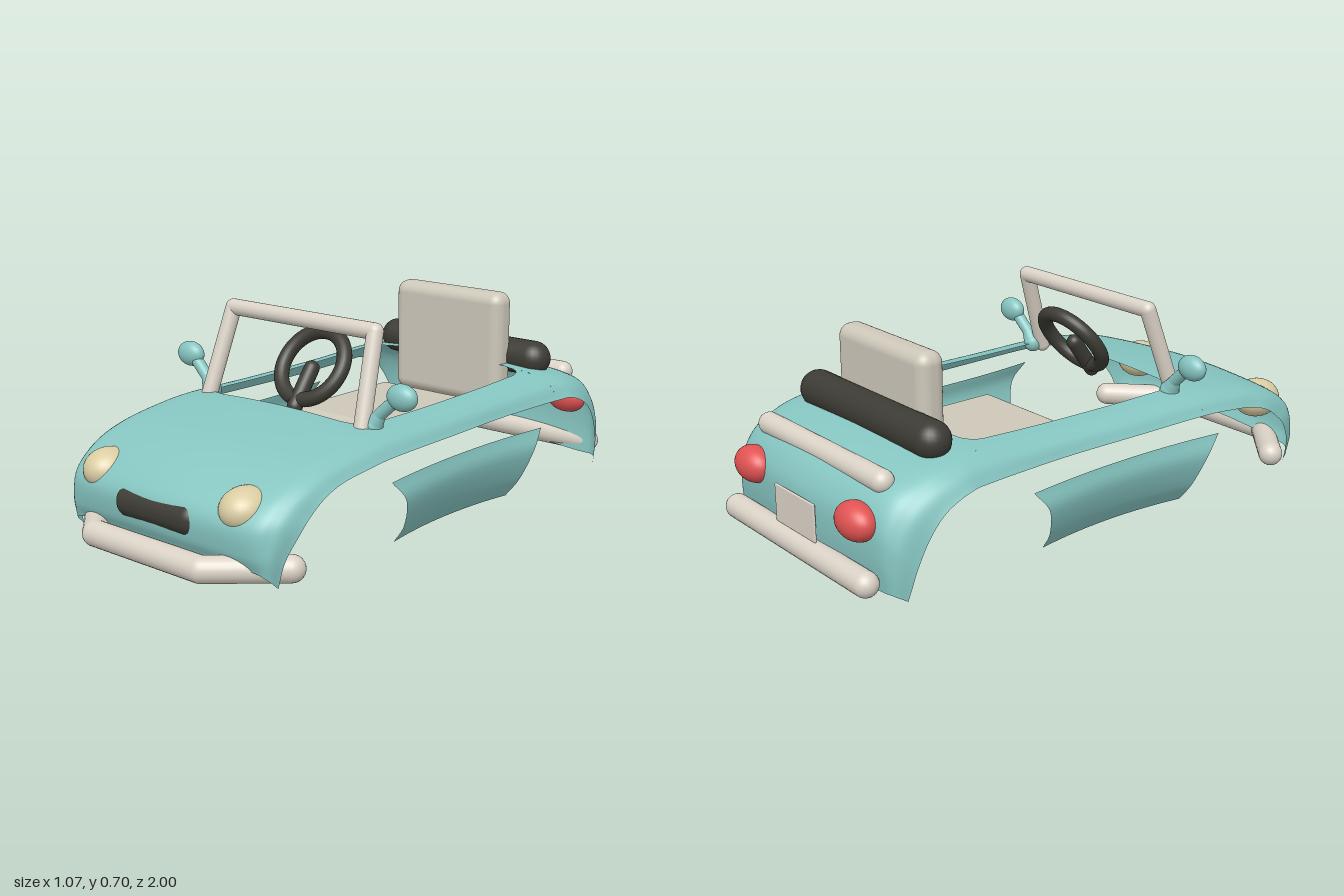
import * as THREE from 'three';
import { RoundedBoxGeometry } from 'three/addons/geometries/RoundedBoxGeometry.js';

const mat = (name, color, side = THREE.FrontSide) =>
  Object.assign(new THREE.MeshStandardMaterial({ color, side }), { name });

// Smooth surface patch from fn(u, v); flip reverses which side faces out
function patch(fn, nu, nv, flip = false) {
  const pos = [], idx = [];
  for (let i = 0; i <= nu; i++)
    for (let j = 0; j <= nv; j++) pos.push(...fn(i / nu, j / nv));
  for (let i = 0; i < nu; i++)
    for (let j = 0; j < nv; j++) {
      const a = i * (nv + 1) + j, b = a + nv + 1;
      if (flip) idx.push(a, b, a + 1, a + 1, b, b + 1);
      else idx.push(a, a + 1, b, a + 1, b + 1, b);
    }
  const g = new THREE.BufferGeometry();
  g.setAttribute('position', new THREE.Float32BufferAttribute(pos, 3));
  g.setIndex(idx);
  g.computeVertexNormals();
  return g;
}

const vec = (x, y, z) => new THREE.Vector3(x, y, z);
const spline = (pts) => new THREE.CatmullRomCurve3(pts, false, 'catmullrom', 0.5);

// Body outline, nose to tail: centre line [y, z]
const centreLine = spline([
  [.10, .91], [.15, .93], [.23, .93], [.29, .88], [.34, .79], [.38, .67], [.405, .52], [.42, .36], [.42, .06],
  [.425, -.26], [.435, -.56], [.425, -.68], [.405, -.78], [.36, -.885], [.28, -.945], [.18, -.955], [.06, -.94],
].map(([y, z]) => vec(0, y, z)));
// Lower edge of the body over the wheel arches, in step with the centre line
const lowerEdge = spline([
  [.445, .035, .84], [.465, .12, .83], [.485, .20, .785], [.488, .245, .74], [.49, .285, .68], [.488, .31, .60],
  [.492, .325, .50], [.49, .335, .36], [.482, .335, .06], [.475, .335, -.26], [.49, .335, -.56], [.5, .33, -.65],
  [.5, .29, -.74], [.495, .22, -.80], [.485, .13, -.84], [.475, .07, -.855], [.465, .025, -.865],
].map((p) => vec(...p)));

// Point on the body at station k (0..16), s across from 0 (right) to 1 (left)
function bodyPoint(k, s) {
  const a = centreLine.getPoint(k / 16), e = lowerEdge.getPoint(k / 16);
  const crown = vec(.35, a.y - .014, a.z - .03 * a.z ** 3);
  const shoulder = crown.clone().lerp(e, .5);
  shoulder.add(vec(.03, .01, .014 * shoulder.z));
  const half = [crown, shoulder, e];
  const mirrored = half.map((p) => vec(-p.x, p.y, p.z)).reverse();
  return spline([...mirrored, a, ...half]).getPoint(s).toArray();
}

// Cockpit edge across the body, rounded at the opening's corners
function cockpitEdge(k) {
  const z = centreLine.getPoint(k / 16).z;
  const d = Math.max(0, Math.min(.36 - z, z + .56));
  const q = Math.max(0, 1 - d / .08);
  return 4 / 6 - .05 * (1 - Math.sqrt(1 - q * q));
}

export function createModel() {
  const car = new THREE.Group();
  car.name = 'openCar';
  const teal = mat('teal paint', 0x86c5c1, THREE.DoubleSide);
  const cream = mat('cream trim', 0xdad2c6);
  const seatMat = mat('beige seat', 0xcdc7b9);
  const dark = mat('dark rubber', 0x3c3b34);
  const yellow = mat('headlight yellow', 0xdacda3);
  const red = mat('tail light red', 0xe05352);

  const add = (name, geo, material, x = 0, y = 0, z = 0, parent = car) => {
    const mesh = new THREE.Mesh(geo, material);
    mesh.name = name;
    mesh.position.set(x, y, z);
    parent.add(mesh);
    return mesh;
  };
  // Round bar with ball joints through a list of points
  const bar = (name, points, r, material, rEnd = r) => {
    const g = new THREE.Group();
    g.name = name;
    car.add(g);
    const v = points.map((p) => vec(...p));
    v.forEach((p, i) => {
      add(name + 'Joint', new THREE.SphereGeometry(i ? rEnd : r, 24, 16), material, p.x, p.y, p.z, g);
      if (!i) return;
      const dir = p.clone().sub(v[i - 1]);
      const mid = p.clone().add(v[i - 1]).multiplyScalar(.5);
      const c = add(name + 'Bar', new THREE.CylinderGeometry(rEnd, i > 1 ? rEnd : r, dir.length(), 24, 1, true),
        material, mid.x, mid.y, mid.z, g);
      c.quaternion.setFromUnitVectors(vec(0, 1, 0), dir.normalize());
    });
  };
  const ball = (name, material, p, r) =>
    add(name, new THREE.SphereGeometry(1, 32, 24), material, ...p).scale.set(...r);

  // Body shell: hood and tail span the full width, sills run beside the cockpit
  add('hood', patch((u, v) => bodyPoint(7 * u, v), 56, 48), teal);
  add('tail', patch((u, v) => bodyPoint(10 + 6 * u, v), 48, 48), teal);
  add('leftSill', patch((u, v) => {
    const k = 7 + 3 * u, s = cockpitEdge(k);
    return bodyPoint(k, s + (1 - s) * v);
  }, 66, 14), teal);
  add('rightSill', patch((u, v) => {
    const k = 7 + 3 * u;
    return bodyPoint(k, (1 - cockpitEdge(k)) * v);
  }, 66, 14), teal);

  // Lower side panels: [x, y, front z, rear z] from top to bottom, flared at the ends
  const rows = [[.49, .27, .405, -.42], [.50, .2, .345, -.365], [.465, .1, .312, -.335], [.415, .03, .302, -.322]];
  const [front, rear] = [2, 3].map((k) => spline(rows.map((r) => vec(r[0], r[1], r[k]))));
  for (const side of [1, -1]) {
    add(side > 0 ? 'leftSidePanel' : 'rightSidePanel', patch((u, v) => {
      const f = front.getPoint(v), b = rear.getPoint(v);
      return [side * (f.x + .028 * (2 * u - 1) ** 2), f.y, f.z + (b.z - f.z) * u];
    }, 24, 20, side < 0), teal);
  }

  // Bumpers and trunk rail
  bar('frontBumper', [[-.44, .078, .775], [-.24, .078, .956], [.24, .078, .956], [.44, .078, .775]], .043, cream);
  bar('rearBumper', [[-.38, .08, -.958], [.38, .08, -.958]], .042, cream);
  bar('trunkRail', [[-.325, .365, -.85], [.325, .365, -.85]], .038, cream);

  // Grille, bent to follow the nose
  const grille = new RoundedBoxGeometry(.37, .102, .11, 6, .048);
  const gp = grille.attributes.position;
  for (let i = 0; i < gp.count; i++) gp.setZ(i, gp.getZ(i) - .7 * gp.getX(i) ** 2);
  add('grille', grille, dark, 0, .195, .902);

  // Lights
  for (const s of [1, -1]) {
    ball('headlight', yellow, [s * .31, .25, .83], [.08, .07, .09]);
    ball('tailLight', red, [s * .3, .25, -.93], [.085, .062, .058]);
  }

  // Rear plate
  add('rearPlate', new RoundedBoxGeometry(.23, .13, .009, 3, .004), cream, 0, .185, -.962);

  // Seat and folded roof
  add('seatCushion', new RoundedBoxGeometry(.53, .07, .53, 5, .03), seatMat, 0, .265, -.245);
  add('seatBack', new RoundedBoxGeometry(.485, .42, .1, 5, .042), seatMat, 0, .48, -.588);
  bar('foldedRoof', [[-.317, .447, -.66], [.317, .447, -.66]], .064, dark);

  // Windscreen frame
  bar('windscreenFrame',
    [[-.345, .40, .345], [-.317, .693, .248], [.317, .693, .248], [.345, .40, .345]], .028, cream);

  // Steering wheel with its lower spoke
  add('steeringWheel', new THREE.TorusGeometry(.127, .026, 20, 56), dark, 0, .525, .195).rotation.x = -.62;
  bar('steeringColumn', [[0, .515, .20], [0, .40, .285]], .027, dark);

  // Side mirrors on flared stalks
  for (const s of [1, -1]) {
    bar('mirrorStalk', [[s * .365, .405, .315], [s * .39, .445, .312], [s * .455, .505, .308]], .034, teal, .021);
    ball('mirror', teal, [s * .476, .514, .306], [.057, .044, .034]);
  }
  return car;
}
